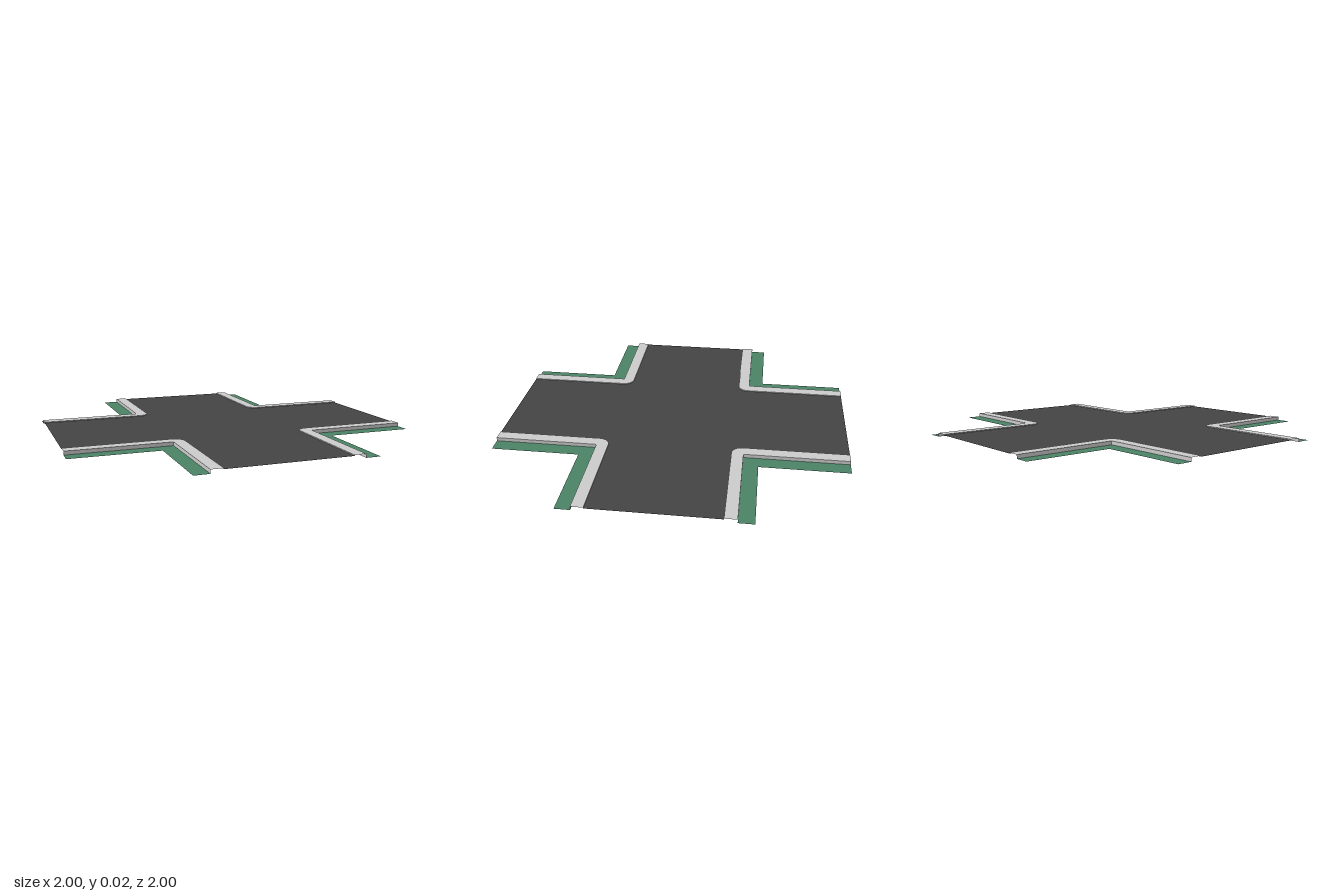
import * as THREE from 'three';
import { toCreasedNormals } from 'three/addons/utils/BufferGeometryUtils.js';

const KERB_IN = 0.348, KERB_OUT = 0.415, GRASS_OUT = 0.5, END = 1;
const RADIUS = 0.06, ROAD_Y = 0.016, KERB_Y = 0.021;

const material = (color) => new THREE.MeshStandardMaterial({ color, side: THREE.DoubleSide });
const v = (x, y) => new THREE.Vector2(x, y);

// Flat sheet facing up at the given height; plan y points to -z
function sheet(points, height) {
  return new THREE.ShapeGeometry(new THREE.Shape(points)).rotateX(-Math.PI / 2).translate(0, height, 0);
}

// Upright strip following a plan path
function strip(path, bottom, top) {
  const position = [], index = [];
  path.forEach((p, i) => {
    position.push(p.x, bottom, -p.y, p.x, top, -p.y);
    if (i) {
      const b = 2 * i;
      index.push(b - 2, b, b + 1, b - 2, b + 1, b - 1);
    }
  });
  const geometry = new THREE.BufferGeometry();
  geometry.setAttribute('position', new THREE.Float32BufferAttribute(position, 3));
  geometry.setIndex(index);
  return toCreasedNormals(geometry, Math.PI / 5);
}

// L-shaped path around one corner with a sharp bend
const bend = (d) => [v(END, d), v(d, d), v(d, END)];

// The same path with a rounded bend
function roundedBend(d, r, steps = 8) {
  const points = [v(END, d)];
  for (let i = 0; i <= steps; i++) {
    const a = -Math.PI / 2 * (1 + i / steps);
    points.push(v(d + r + r * Math.cos(a), d + r + r * Math.sin(a)));
  }
  points.push(v(d, END));
  return points;
}

export function createModel() {
  const model = new THREE.Group();
  model.name = 'crossroads';
  const grey = material(0xcccccc), green = material(0x4b8366), asphalt = material(0x444444);

  const add = (parent, name, geometry, mat) => {
    const mesh = new THREE.Mesh(geometry, mat);
    mesh.name = name;
    parent.add(mesh);
  };

  const inner = roundedBend(KERB_IN, RADIUS);
  const outer = bend(KERB_OUT);
  const verge = bend(GRASS_OUT);

  // Cross-shaped road surface
  const outline = [];
  for (let k = 0; k < 4; k++) {
    for (const p of inner) outline.push(p.clone().rotateAround(v(0, 0), k * Math.PI / 2));
  }
  add(model, 'road', sheet(outline, ROAD_Y), asphalt);

  // Four corners: pavement top, lip to the road, wall down to the grass, grass
  const pavementTop = sheet([...inner, ...[...outer].reverse()], KERB_Y);
  const lip = strip([...inner].reverse(), ROAD_Y, KERB_Y);
  const wall = strip(outer, 0, KERB_Y);
  const grass = sheet([...outer, ...[...verge].reverse()], 0);
  for (let k = 0; k < 4; k++) {
    const corner = new THREE.Group();
    corner.name = 'corner' + (k + 1);
    add(corner, 'pavement', pavementTop, grey);
    add(corner, 'kerbLip', lip, grey);
    add(corner, 'outerWall', wall, grey);
    add(corner, 'grassVerge', grass, green);
    corner.rotation.y = k * Math.PI / 2;
    model.add(corner);
  }
  return model;
}
